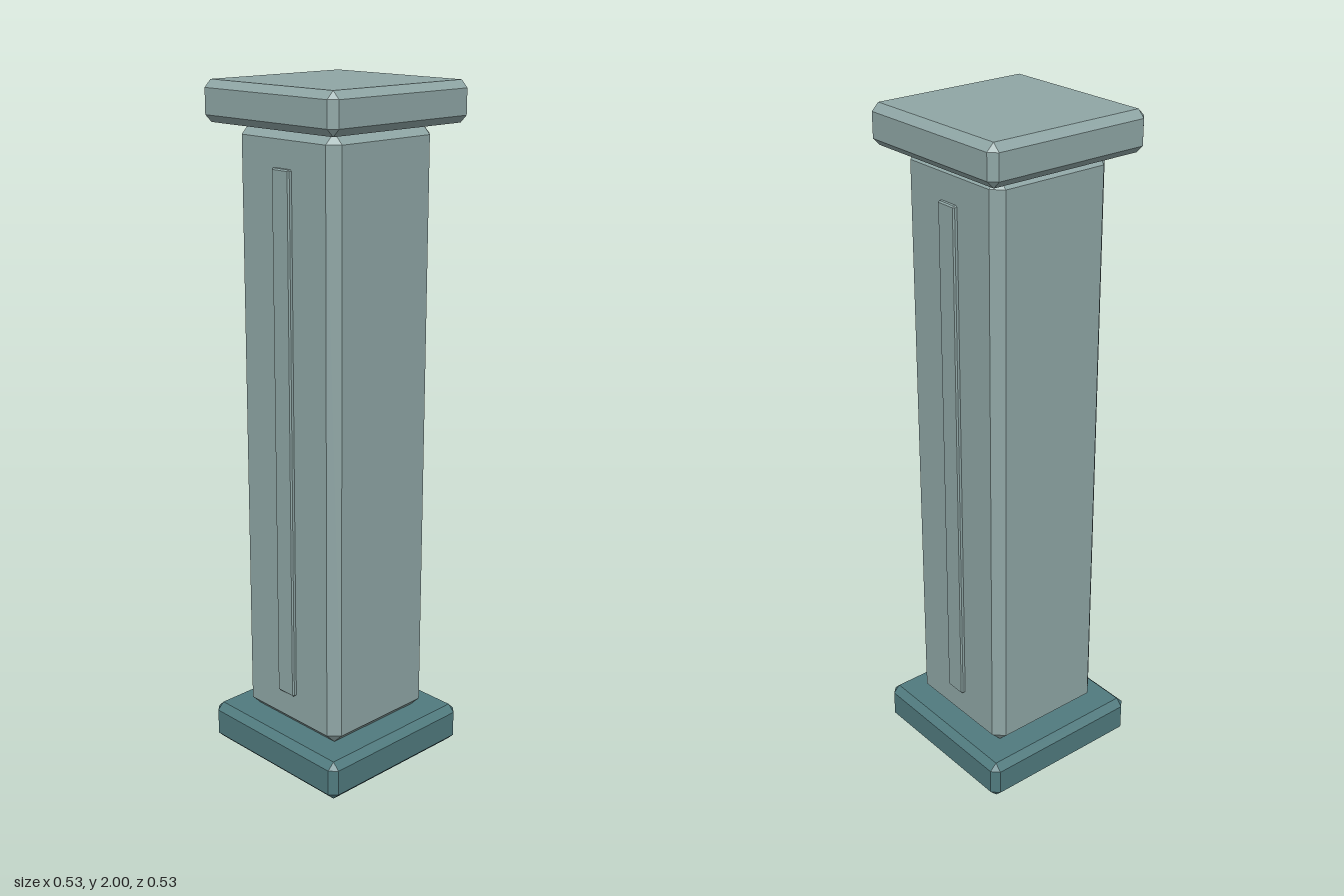
import * as THREE from 'three';
import { ConvexGeometry } from 'three/addons/geometries/ConvexGeometry.js';

// Box with every edge cut at 45 degrees by c
function chamferBox(w, h, d, c) {
  const points = [];
  for (const sx of [-1, 1]) for (const sy of [-1, 1]) for (const sz of [-1, 1]) {
    const x = w / 2, y = h / 2, z = d / 2;
    points.push(
      new THREE.Vector3(sx * x, sy * (y - c), sz * (z - c)),
      new THREE.Vector3(sx * (x - c), sy * y, sz * (z - c)),
      new THREE.Vector3(sx * (x - c), sy * (y - c), sz * z)
    );
  }
  return new ConvexGeometry(points);
}

export function createModel() {
  const stone = new THREE.MeshStandardMaterial({ color: 0x8fa6a5 });
  stone.name = 'paleStone';
  const dark = new THREE.MeshStandardMaterial({ color: 0x507a7e });
  dark.name = 'darkTealStone';

  const group = new THREE.Group();
  group.name = 'pillar';

  function add(name, geometry, material, x, y) {
    const mesh = new THREE.Mesh(geometry, material);
    mesh.name = name;
    mesh.position.set(x, y, 0);
    group.add(mesh);
  }

  // Plinth, shaft and cap stacked from the ground up
  add('base', chamferBox(0.534, 0.12, 0.534, 0.021), dark, 0, 0.06);
  add('shaft', chamferBox(0.39, 1.766, 0.39, 0.03), stone, 0, 1.003);
  add('cap', chamferBox(0.52, 0.114, 0.52, 0.021), stone, 0, 1.943);

  // Slim raised strips on the two sides
  for (const side of [-1, 1]) {
    add(side > 0 ? 'leftStrip' : 'rightStrip',
      chamferBox(0.03, 1.55, 0.068, 0.004), stone, side * 0.192, 1.005);
  }
  return group;
}
